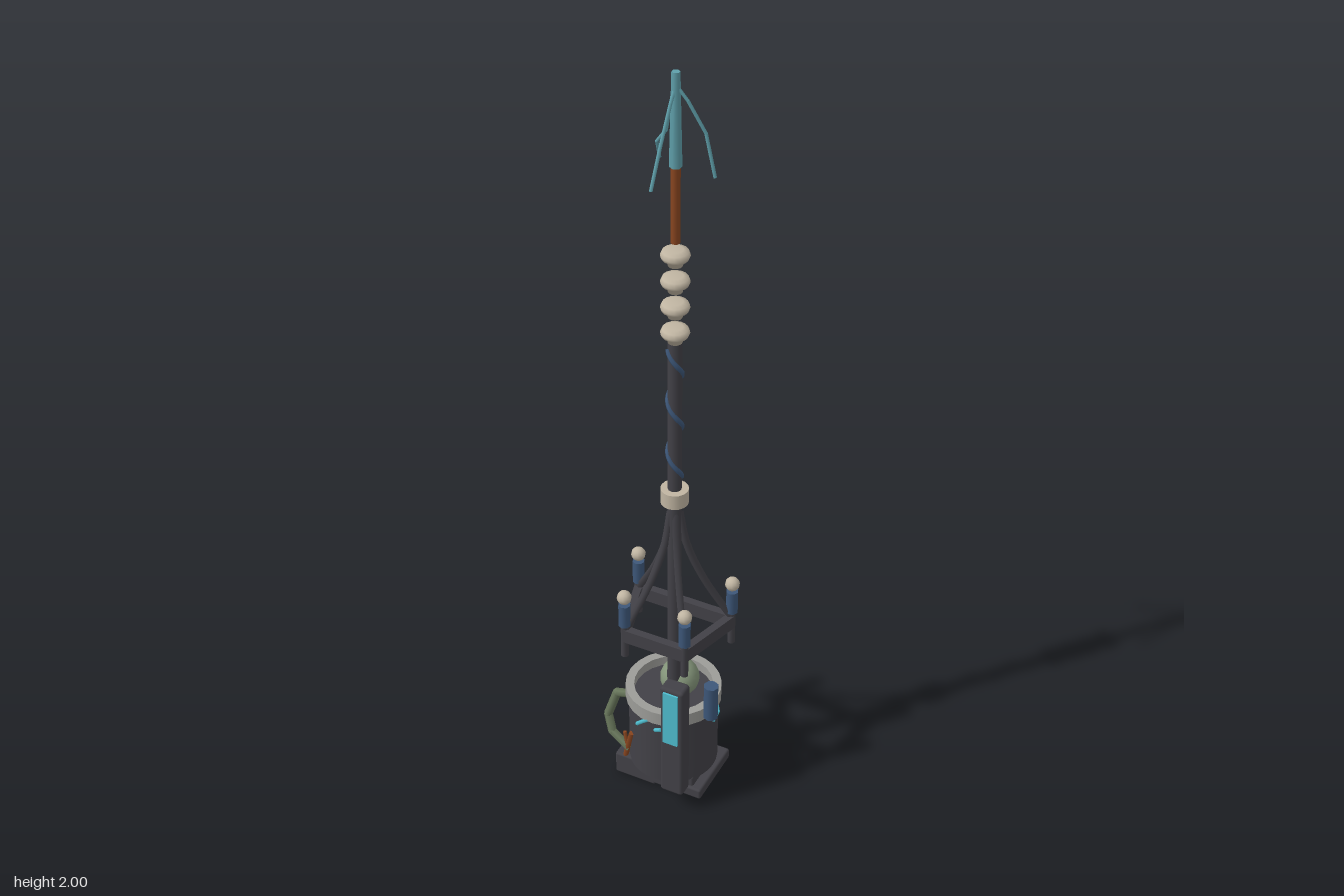
import * as THREE from 'three';
import { RoundedBoxGeometry } from 'three/addons/geometries/RoundedBoxGeometry.js';

const mat = (name, color, extra = {}) => {
  const m = new THREE.MeshStandardMaterial({ color, ...extra });
  m.name = name;
  return m;
};

export function createModel() {
  const iron = mat('darkIron', 0x424147);
  const steel = mat('greySteel', 0x9c9c98);
  const sage = mat('sageGlass', 0x84957a);
  const moss = mat('mossGreen', 0x67755a);
  const bone = mat('ceramic', 0xc0b5a2);
  const blue = mat('slateBlue', 0x3d5779);
  const cyan = mat('cyanPanel', 0x4fbdcf);
  const teal = mat('tealCrystal', 0x5f9faa);
  const rust = mat('rustCopper', 0x8a4620);

  const root = new THREE.Group();
  root.name = 'lightningMast';
  const V = (x, y, z) => new THREE.Vector3(x, y, z);

  const add = (name, geo, material, x = 0, y = 0, z = 0) => {
    const mesh = new THREE.Mesh(geo, material);
    mesh.name = name;
    mesh.position.set(x, y, z);
    root.add(mesh);
    return mesh;
  };
  // Upright cylinder between two heights
  const column = (name, rTop, rBottom, y0, y1, x, z, material, sides = 12) =>
    add(name, new THREE.CylinderGeometry(rTop, rBottom, y1 - y0, sides), material, x, (y0 + y1) / 2, z);
  // Block given by its limits, with softened edges
  const block = (name, x0, x1, y0, y1, z0, z1, material, r = 0.006) =>
    add(name, new RoundedBoxGeometry(x1 - x0, y1 - y0, z1 - z0, 2, r), material,
      (x0 + x1) / 2, (y0 + y1) / 2, (z0 + z1) / 2);
  // Straight cylinder between two points
  const rod = (name, a, b, r, material, sides = 6) => {
    const m = add(name, new THREE.CylinderGeometry(r, r, a.distanceTo(b), sides), material);
    m.position.copy(a).lerp(b, 0.5);
    m.quaternion.setFromUnitVectors(V(0, 1, 0), b.clone().sub(a).normalize());
    return m;
  };
  const chain = (name, pts, r, material) => {
    for (let i = 1; i < pts.length; i++) {
      rod(name, pts[i - 1], pts[i], r, material);
      if (i < pts.length - 1) {
        add(name + 'Joint', new THREE.SphereGeometry(r, 8, 6), material, ...pts[i].toArray());
      }
    }
  };

  const MX = 0.021; // mast axis
  const PX = 0.013, PZ = -0.013; // pot axis

  // Base
  block('baseSlab', -0.1, 0.13, 0.005, 0.036, -0.108, 0.068, iron);
  block('baseBlock', -0.115, 0, 0, 0.066, -0.07, 0.068, iron);
  block('baseFoot', 0.055, 0.105, 0.03, 0.066, -0.06, 0.06, iron);

  // Pot with a raised rim
  column('potBody', 0.114, 0.114, 0.06, 0.27, PX, PZ, iron, 32);
  add('potRim', new THREE.LatheGeometry([
    [0.1, 0.26], [0.122, 0.26], [0.122, 0.297], [0.1, 0.297], [0.1, 0.26],
  ].map(([r, y]) => new THREE.Vector2(r, y)).flatMap((p, i, a) => (i && i < a.length - 1 ? [p, p.clone()] : [p])), 24),
    steel, PX, 0, PZ);
  add('orb', new THREE.SphereGeometry(0.05, 20, 14), sage, MX, 0.307, -0.032);

  // Handle and leaning copper fork
  chain('handle', [V(-0.075, 0.257, 0.03), V(-0.125, 0.245, 0.033), V(-0.147, 0.17, 0.042),
    V(-0.13, 0.125, 0.053), V(-0.075, 0.095, 0.062)], 0.0115, moss);
  rod('forkStem', V(-0.088, 0.065, 0.06), V(-0.062, 0.165, 0.075), 0.007, rust);
  rod('forkProng', V(-0.08, 0.1, 0.064), V(-0.09, 0.145, 0.06), 0.005, rust);

  // Front cabinet with a glowing window
  block('cabinet', 0.045, 0.108, 0.06, 0.41, 0.083, 0.128, iron, 0.009);
  add('cabinetWindow', new THREE.BoxGeometry(0.04, 0.165, 0.008), cyan, 0.076, 0.317, 0.129);

  // Side canister
  column('canister', 0.019, 0.019, 0.268, 0.37, 0.137, 0.027, blue, 8);

  // Small sparks on the pot wall
  for (const pts of [
    [V(-0.035, 0.228, 0.097), V(-0.018, 0.245, 0.1), V(0, 0.262, 0.104)],
    [V(0.02, 0.235, 0.104), V(0.04, 0.25, 0.111)],
    [V(0.126, 0.262, -0.03), V(0.138, 0.25, -0.014), V(0.132, 0.228, 0.002)],
  ]) chain('spark', pts, 0.005, cyan);

  // Mast, collar and spiral wire
  column('mast', 0.0165, 0.0175, 0.27, 1.345, MX, 0, iron, 12);
  column('collar', 0.034, 0.034, 0.888, 0.928, MX, 0, bone, 16);
  const helix = Array.from({ length: 41 }, (_, i) => {
    const t = i / 40, a = -0.6 + t * Math.PI * 5;
    return V(MX + 0.0165 * Math.cos(a), 0.96 + t * 0.36, 0.0165 * Math.sin(a));
  });
  add('spiralWire', new THREE.TubeGeometry(new THREE.CatmullRomCurve3(helix), 80, 0.006, 6), blue);

  // Four-cornered cross frame with posts, insulators and curved struts
  const corners = [[-0.121, -0.083], [0.138, -0.083], [0.09, 0.082], [-0.074, 0.082]];
  corners.forEach(([x, z], i) => {
    const [nx, nz] = corners[(i + 1) % 4];
    const beam = add('frameBeam', new THREE.BoxGeometry(Math.hypot(nx - x, nz - z), 0.038, 0.02), iron,
      (x + nx) / 2, 0.5, (z + nz) / 2);
    beam.rotation.y = -Math.atan2(nz - z, nx - x);
    column('framePost', 0.01, 0.01, 0.432, 0.54, x, z, iron, 8);
    column('postInsulator', 0.0155, 0.0155, 0.53, 0.595, x, z, blue, 8);
    add('postCap', new THREE.SphereGeometry(0.0185, 10, 8), bone, x, 0.617, z);
    const at = (f, y) => V(MX + (x - MX) * f, y, z * f);
    const curve = new THREE.CatmullRomCurve3([at(0.08, 0.86), at(0.2, 0.76), at(0.5, 0.645), at(1, 0.51)]);
    add('strut', new THREE.TubeGeometry(curve, 12, 0.0095, 6), iron);
  });

  // Stacked ceramic discs
  const disc = [[0, 0], [0.017, 0], [0.019, 0.014], [0.031, 0.018], [0.034, 0.026], [0.03, 0.036], [0.018, 0.04], [0, 0.04]]
    .map(([r, y]) => new THREE.Vector2(r, y));
  for (let i = 0; i < 4; i++) {
    add('ceramicDisc', new THREE.LatheGeometry(disc, 16), bone, MX, 1.338 + i * 0.0665, 0);
  }

  // Copper rod and crystal tip with drooping filaments
  column('copperRod', 0.0115, 0.0115, 1.595, 1.785, MX, 0, rust, 8);
  column('crystalTip', 0.0095, 0.0145, 1.78, 2, MX, 0, teal, 6);
  for (const pts of [
    [V(MX, 1.97, 0), V(0.045, 1.935, -0.008), V(0.08, 1.86, -0.024), V(0.101, 1.76, -0.027)],
    [V(MX, 1.97, 0), V(0.002, 1.93, -0.02), V(-0.015, 1.845, -0.027), V(-0.04, 1.81, -0.032), V(-0.046, 1.76, -0.057)],
    [V(MX, 1.97, 0), V(0.018, 1.935, 0.018), V(0.012, 1.85, 0.053), V(0.007, 1.76, 0.088)],
  ]) chain('filament', pts, 0.004, teal);

  return root;
}
